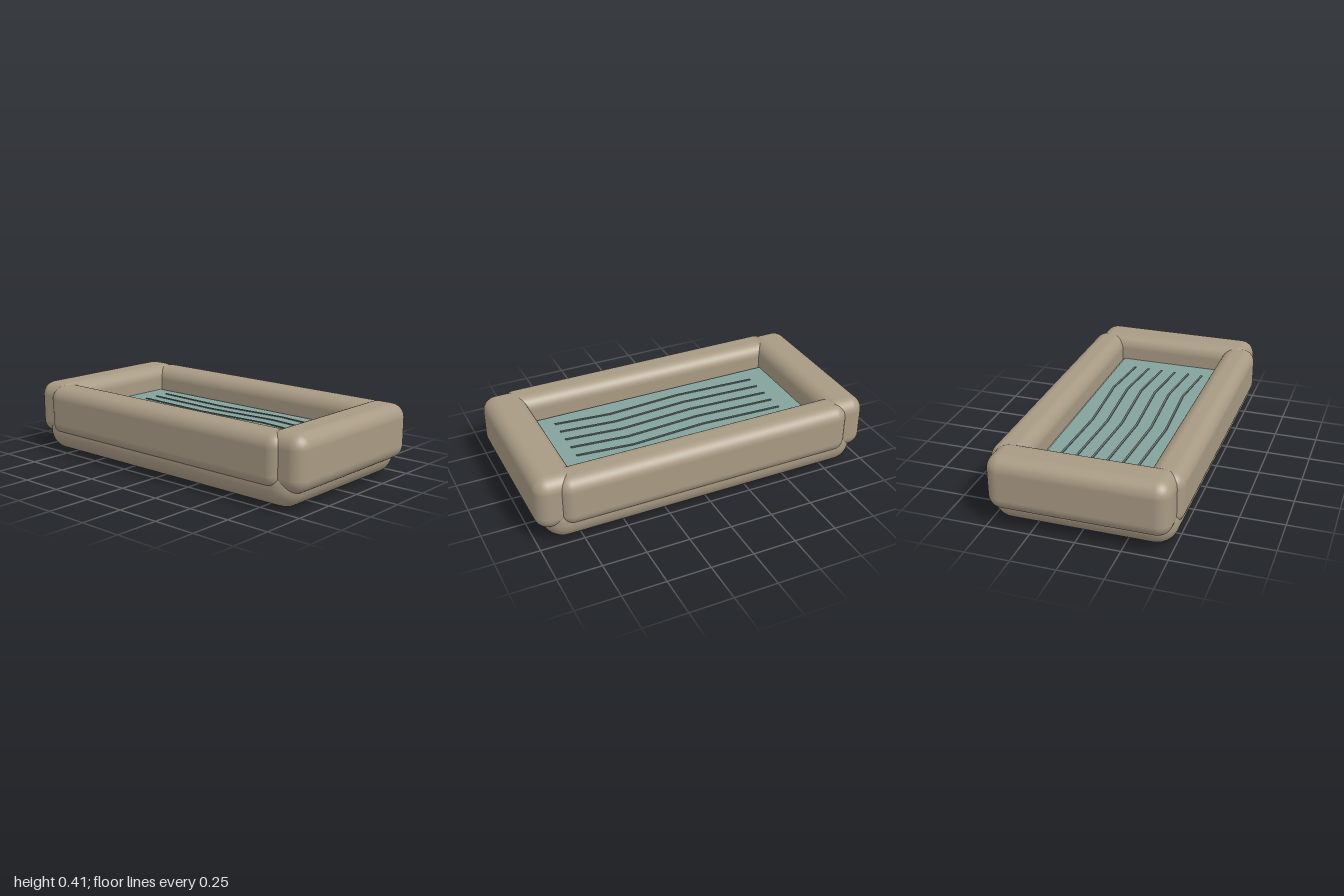
import * as THREE from 'three';
import { RoundedBoxGeometry } from 'three/addons/geometries/RoundedBoxGeometry.js';

export function createModel() {
  const model = new THREE.Group();
  model.name = 'cushionedTray';

  const tan = new THREE.MeshStandardMaterial({ name: 'tan', color: 0xa89a84 });
  const teal = new THREE.MeshStandardMaterial({ name: 'teal', color: 0x84a29c });
  const slate = new THREE.MeshStandardMaterial({ name: 'slate', color: 0x66766f });

  const add = (name, geometry, material, x, y, z) => {
    const mesh = new THREE.Mesh(geometry, material);
    mesh.name = name;
    mesh.position.set(x, y, z);
    model.add(mesh);
  };

  // Rounded base
  add('base', new RoundedBoxGeometry(1.9, 0.25, 1.02, 5, 0.12), tan, 0, 0.125, 0);

  // Padded walls, mirrored on both axes
  for (const s of [1, -1]) {
    add(s > 0 ? 'frontWall' : 'backWall',
      new RoundedBoxGeometry(1.75, 0.295, 0.2, 5, 0.075), tan, 0, 0.2525, s * 0.43);
    add(s > 0 ? 'leftWall' : 'rightWall',
      new RoundedBoxGeometry(0.24, 0.315, 1, 5, 0.08), tan, s * 0.88, 0.2525, 0);
  }

  // Inner floor panel
  add('floorPanel', new THREE.BoxGeometry(1.6, 0.03, 0.635), teal, 0, 0.245, 0);

  // Zigzag ripple strips lying on the panel
  const path = [[-0.63, -0.015], [-0.14, 0.009], [0.31, -0.018], [0.64, 0.015]];
  const half = 0.006;
  const outline = [
    ...path.map(([x, z]) => new THREE.Vector2(x, -z + half)),
    ...path.slice().reverse().map(([x, z]) => new THREE.Vector2(x, -z - half)),
  ];
  const ripple = new THREE.ExtrudeGeometry(new THREE.Shape(outline), { depth: 0.006, bevelEnabled: false });
  ripple.rotateX(-Math.PI / 2);
  for (let i = 0; i < 6; i++) add('ripple' + (i + 1), ripple, slate, 0, 0.259, -0.22 + i * 0.088);

  return model;
}
